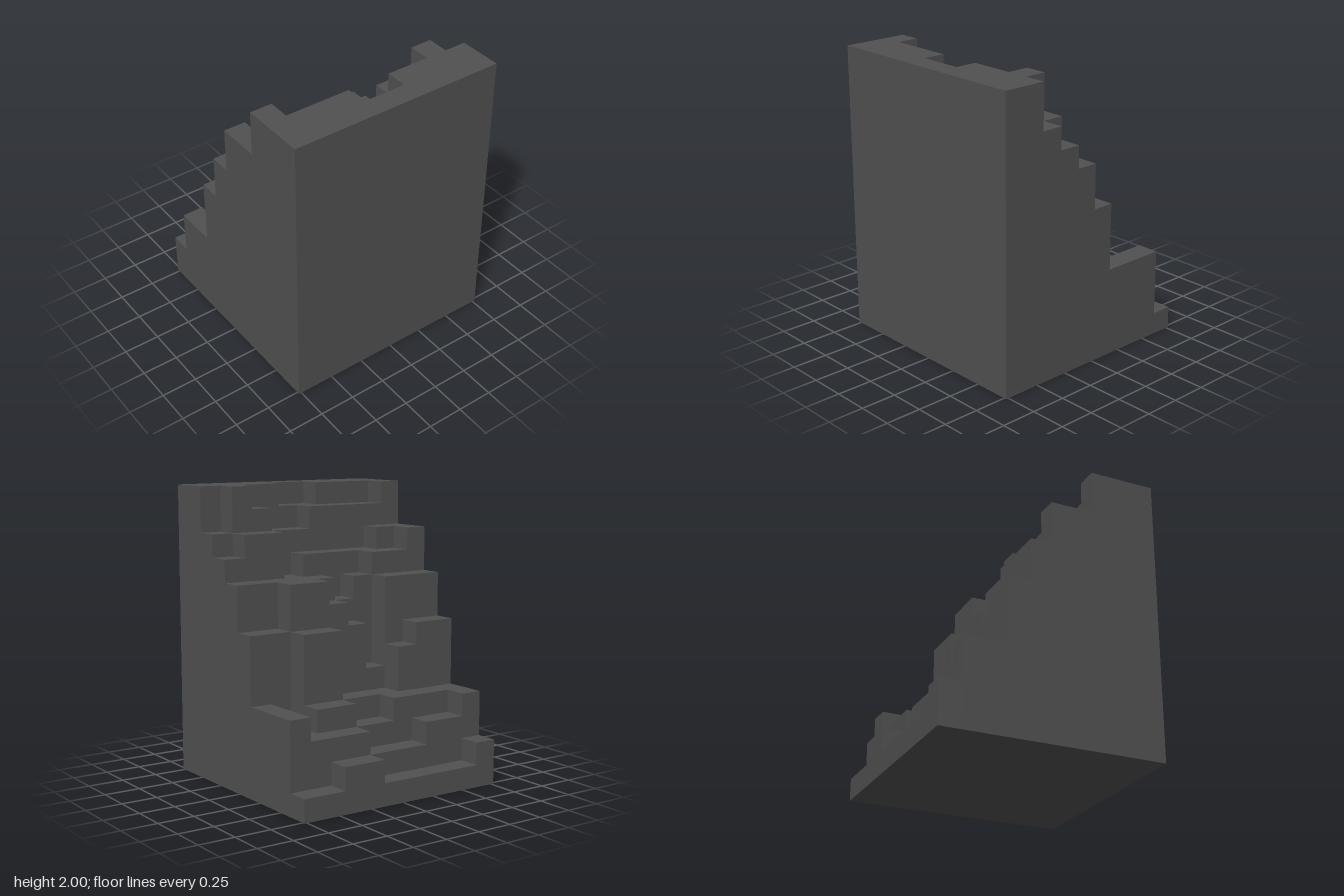
import * as THREE from 'three';

// Block heights, one hex digit per cell: rows run from back (-z) to front (+z),
// digits run from -x to +x.
const ROWS = [
  '2111112211',
  '4332223334',
  '4444334434',
  '7764447734',
  '9995789977',
  'baa9899999',
  'bbaaaa9bba',
  'dccccbbcdb',
  'ddddccdddd',
  'dddddddddd',
];
const N = ROWS.length;
const CELL = 2 / 13;

const heightAt = (i, j) =>
  i < 0 || j < 0 || i >= N || j >= N ? 0 : parseInt(ROWS[j][i], 16);

// Collects quads given in cell units, with corners counter-clockwise from outside.
function quadBuilder() {
  const positions = [];
  return {
    quad(a, b, c, d) {
      for (const [x, y, z] of [a, b, c, a, c, d]) {
        positions.push((x - N / 2) * CELL, y * CELL, (z - N / 2) * CELL);
      }
    },
    mesh(name, material) {
      const geometry = new THREE.BufferGeometry();
      geometry.setAttribute('position', new THREE.Float32BufferAttribute(positions, 3));
      geometry.computeVertexNormals();
      const mesh = new THREE.Mesh(geometry, material);
      mesh.name = name;
      return mesh;
    },
  };
}

export function createModel() {
  const group = new THREE.Group();
  group.name = 'steppedCliff';
  const stone = new THREE.MeshStandardMaterial({ color: 0x505050 });
  stone.name = 'dark grey stone';

  const terraces = quadBuilder();
  const walls = quadBuilder();
  const base = quadBuilder();

  for (let j = 0; j < N; j++) {
    for (let i = 0; i < N; i++) {
      const h = heightAt(i, j);

      // Flat top of the block
      terraces.quad([i, h, j + 1], [i + 1, h, j + 1], [i + 1, h, j], [i, h, j]);

      // Walls down to each lower neighbour: [di, dj, bottom edge start, bottom edge end]
      const sides = [
        [1, 0, [i + 1, j + 1], [i + 1, j]],
        [-1, 0, [i, j], [i, j + 1]],
        [0, 1, [i, j + 1], [i + 1, j + 1]],
        [0, -1, [i + 1, j], [i, j]],
      ];
      for (const [di, dj, [ax, az], [bx, bz]] of sides) {
        const low = heightAt(i + di, j + dj);
        if (h > low) {
          walls.quad([ax, low, az], [bx, low, bz], [bx, h, bz], [ax, h, az]);
        }
      }
    }
  }

  // Underside
  base.quad([0, 0, 0], [N, 0, 0], [N, 0, N], [0, 0, N]);

  group.add(
    terraces.mesh('terraces', stone),
    walls.mesh('cliffWalls', stone),
    base.mesh('underside', stone),
  );
  return group;
}
